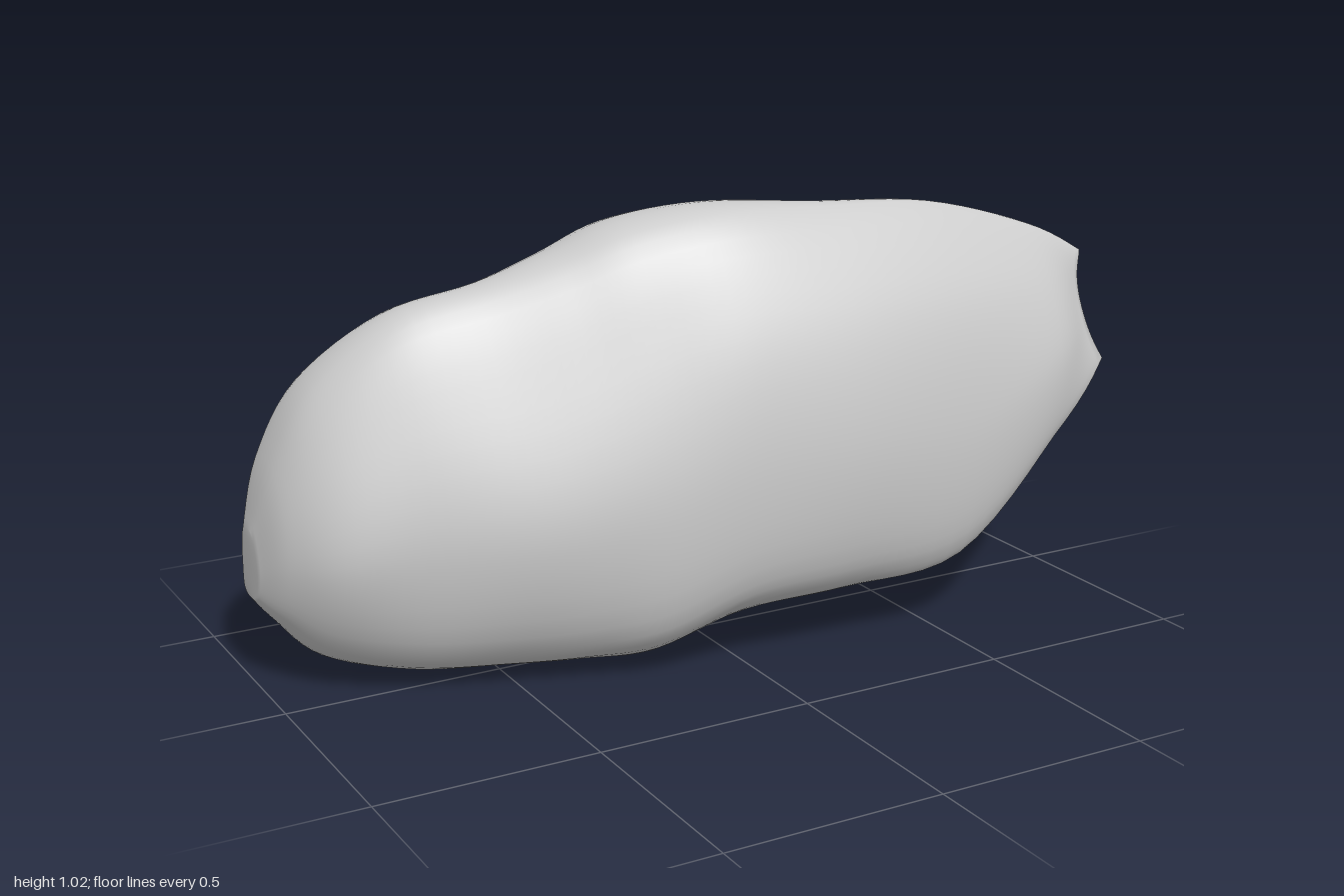
import * as THREE from 'three';

// Cross-sections along x: x, top y, z of the top's front and back edge, bottom y, bottom z,
// front z at 75%, 40%, 8% of the height, back z at 8%, 40%, 75%
const SECTIONS = [
  [-1.0, 0.36, -0.17, -0.22, 0.2, -0.2, -0.15, -0.14, -0.16, -0.235, -0.24, -0.235],
  [-0.96, 0.52, -0.13, -0.23, 0.15, -0.17, -0.06, -0.04, -0.09, -0.25, -0.26, -0.25],
  [-0.87, 0.69, -0.09, -0.21, 0.06, -0.16, 0.01, 0.06, -0.03, -0.285, -0.29, -0.255],
  [-0.7, 0.83, -0.04, -0.15, 0.01, -0.16, 0.07, 0.135, 0.05, -0.325, -0.315, -0.25],
  [-0.5, 0.885, 0.0, -0.11, 0.0, -0.13, 0.125, 0.215, 0.12, -0.33, -0.32, -0.235],
  [-0.35, 0.935, 0.04, -0.11, 0.005, -0.05, 0.17, 0.26, 0.18, -0.27, -0.28, -0.22],
  [-0.2, 0.995, 0.08, -0.1, 0.025, 0.09, 0.21, 0.295, 0.24, -0.08, -0.18, -0.21],
  [0.0, 1.025, 0.12, -0.04, 0.115, 0.2, 0.26, 0.33, 0.29, 0.11, -0.06, -0.13],
  [0.25, 1.02, 0.13, 0.05, 0.14, 0.25, 0.285, 0.355, 0.315, 0.21, 0.04, -0.03],
  [0.55, 1.0, 0.13, 0.095, 0.18, 0.285, 0.275, 0.34, 0.32, 0.265, 0.14, 0.06],
  [0.82, 0.92, 0.145, 0.125, 0.42, 0.275, 0.235, 0.3, 0.295, 0.255, 0.18, 0.12],
  [0.96, 0.84, 0.155, 0.145, 0.58, 0.23, 0.18, 0.215, 0.23, 0.22, 0.185, 0.155],
];
const STEPS = 6; // rings between two sections
const AROUND = 56; // points round each ring

// Smooth interpolation of every section value
function sectionAt(t) {
  const last = SECTIONS.length - 1;
  const i = Math.min(Math.floor(t), last - 1);
  const f = t - i;
  const [p, a, b, n] = [-1, 0, 1, 2].map((k) => SECTIONS[THREE.MathUtils.clamp(i + k, 0, last)]);
  return a.map((v, k) => {
    const m0 = (b[k] - p[k]) / 2;
    const m1 = (n[k] - v) / 2;
    const d = b[k] - v;
    return v + f * (m0 + f * (3 * d - 2 * m0 - m1 + f * (m0 + m1 - 2 * d)));
  });
}

// Closed outline: down the front, up the back
function ring(t) {
  const [x, yT, zTF, zTB, yB, zB, f75, f40, f8, b8, b40, b75] = sectionAt(t);
  const h = yT - yB;
  const point = (v, z) => new THREE.Vector3(x, yB + h * v, z);
  const curve = new THREE.CatmullRomCurve3([
    point(0.98, zTF), point(0.75, f75), point(0.4, f40), point(0.08, f8),
    point(0, zB), point(0.08, b8), point(0.4, b40), point(0.75, b75), point(0.97, zTB),
  ], true, 'centripetal');
  // The narrow end is notched between two corners
  const notch = THREE.MathUtils.smoothstep(x, 0.8, 0.96);
  return Array.from({ length: AROUND }, (_, j) => {
    const p = curve.getPoint(j / AROUND);
    const s = (2 * (p.y - yB)) / h - 1;
    p.x += notch * (0.04 * s * s - 0.012 * s - 0.015);
    return p;
  });
}

function bodyGeometry() {
  const count = (SECTIONS.length - 1) * STEPS + 1;
  const rings = Array.from({ length: count }, (_, i) => ring(i / STEPS));
  const points = rings.flat();
  const index = [];
  for (let i = 0; i < count - 1; i++) {
    for (let j = 0; j < AROUND; j++) {
      const a = i * AROUND + j;
      const b = i * AROUND + ((j + 1) % AROUND);
      index.push(a, b, a + AROUND, b, b + AROUND, a + AROUND);
    }
  }
  // Close both ends with strips running between front and back
  for (const [start, flip] of [[0, true], [(count - 1) * AROUND, false]]) {
    const at = (j) => start + (j % AROUND);
    for (let j = 0; j < AROUND / 2; j++) {
      const [a, b, c, d] = [at(j), at(j + 1), at(AROUND - j - 1), at(AROUND - j)];
      if (flip) index.push(a, c, b, a, d, c);
      else index.push(a, b, c, a, c, d);
    }
  }
  const geometry = new THREE.BufferGeometry().setFromPoints(points);
  geometry.setIndex(index);
  geometry.computeVertexNormals();
  return geometry;
}

export function createModel() {
  const group = new THREE.Group();
  group.name = 'curvedOrgan';
  const body = new THREE.Mesh(bodyGeometry(), new THREE.MeshStandardMaterial({ color: 0xcccccc }));
  body.name = 'body';
  group.add(body);
  return group;
}
